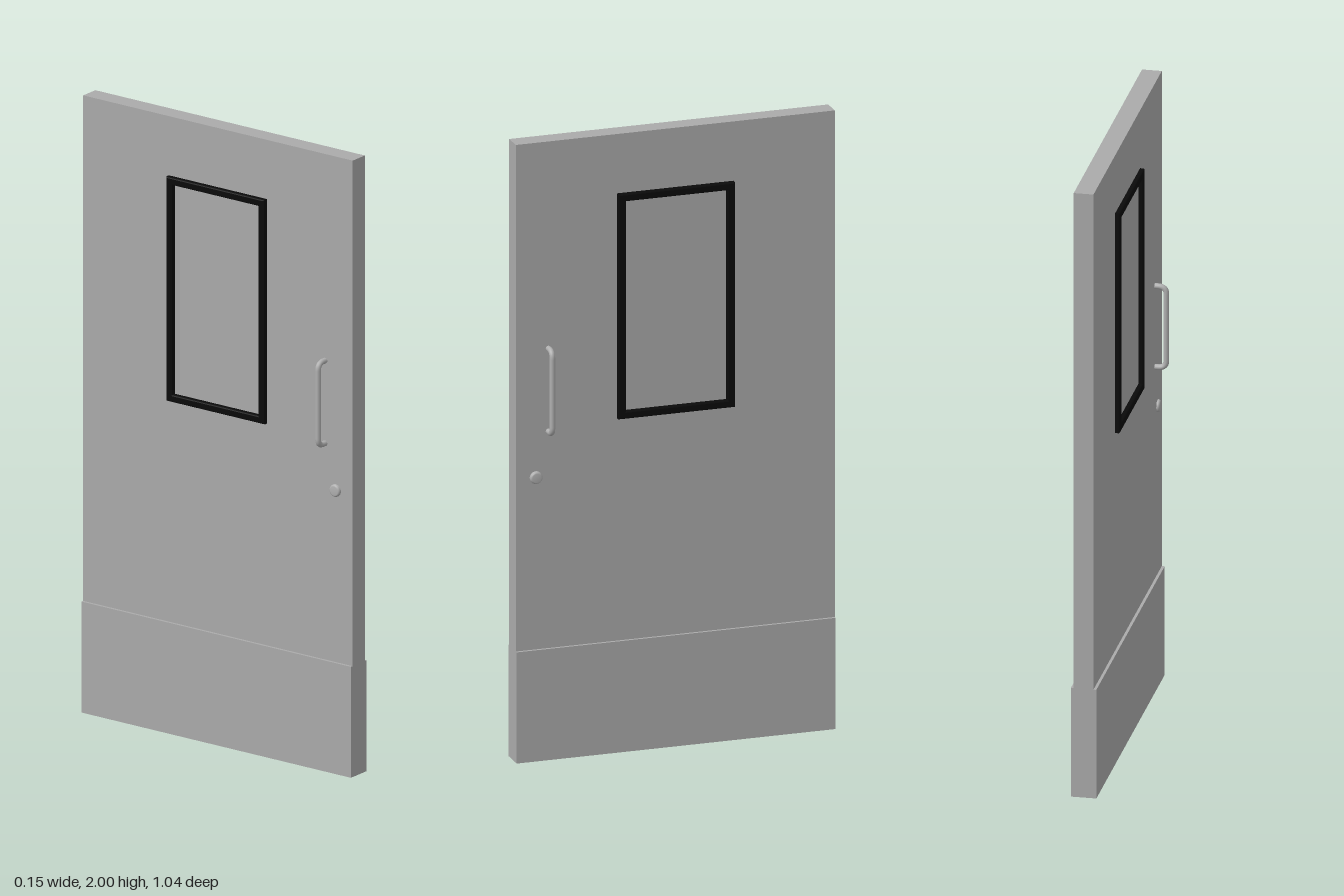
import * as THREE from 'three';

export function createModel() {
  const model = new THREE.Group();
  model.name = 'door';

  const mat = (name, color) => {
    const m = new THREE.MeshStandardMaterial({ color });
    m.name = name;
    return m;
  };
  const grey = mat('door grey', 0xaaaaaa);
  const metal = mat('handle metal', 0xb0b0b0);
  const black = mat('trim black', 0x0a0a0a);

  const add = (name, geometry, material, parent = model) => {
    const mesh = new THREE.Mesh(geometry, material);
    mesh.name = name;
    parent.add(mesh);
    return mesh;
  };

  // Door slab and the thicker kick plates wrapped around its foot
  add('slab', new THREE.BoxGeometry(0.062, 1.64, 1.036), grey).position.set(-0.001, 1.18, 0);
  add('kickPlate', new THREE.BoxGeometry(0.08, 0.36, 1.036), grey).position.set(-0.001, 0.18, 0);

  // Window trim: a bevelled rectangular ring, drawn in (z, y)
  const rect = (shape, w, h) => {
    shape.moveTo(-w, -h);
    shape.lineTo(w, -h);
    shape.lineTo(w, h);
    shape.lineTo(-w, h);
    shape.closePath();
    return shape;
  };
  const bevel = 0.004;
  const ring = rect(new THREE.Shape(), 0.189 - bevel, 0.364 - bevel);
  ring.holes.push(rect(new THREE.Path(), 0.165 + bevel, 0.34 + bevel));
  const trimGeometry = new THREE.ExtrudeGeometry(ring, {
    depth: 0.015, bevelThickness: bevel, bevelSize: bevel, bevelSegments: 2,
  });
  trimGeometry.rotateY(Math.PI / 2);

  // Pull handle: a D-shaped bar with rounded corners
  const r = 0.024, out = 0.068, low = 1.062, high = 1.33, hz = 0.412;
  const v = (x, y) => new THREE.Vector3(x, y, hz);
  const path = new THREE.CurvePath();
  path.add(new THREE.LineCurve3(v(0.025, low), v(out - r, low)));
  path.add(new THREE.QuadraticBezierCurve3(v(out - r, low), v(out, low), v(out, low + r)));
  path.add(new THREE.LineCurve3(v(out, low + r), v(out, high - r)));
  path.add(new THREE.QuadraticBezierCurve3(v(out, high - r), v(out, high), v(out - r, high)));
  path.add(new THREE.LineCurve3(v(out - r, high), v(0.025, high)));
  const handleGeometry = new THREE.TubeGeometry(path, 80, 0.009, 12);

  // Lock cylinder with a softened rim
  const lockGeometry = new THREE.LatheGeometry(
    [[0.02, 0.025], [0.02, 0.036], [0.018, 0.04], [0.014, 0.042], [0, 0.042]]
      .map(([x, y]) => new THREE.Vector2(x, y)), 20);
  lockGeometry.rotateZ(-Math.PI / 2);

  // The same fittings on both faces of the door
  for (const [side, turn] of [['left', 0], ['right', Math.PI]]) {
    const face = new THREE.Group();
    face.name = side + 'Fittings';
    model.add(face);
    const flip = turn ? -1 : 1;
    const trim = add('windowTrim', trimGeometry, black, face);
    trim.position.set(flip * 0.028, 1.444, 0);
    trim.rotation.y = turn;
    // Half turn about y, with z shifted back to the latch edge
    const handle = add('pullHandle', handleGeometry, metal, face);
    handle.rotation.y = turn;
    if (turn) handle.position.z = 2 * hz;
    const lock = add('lock', lockGeometry, metal, face);
    lock.position.set(0, 0.917, 0.453);
    lock.rotation.y = turn;
  }
  return model;
}
